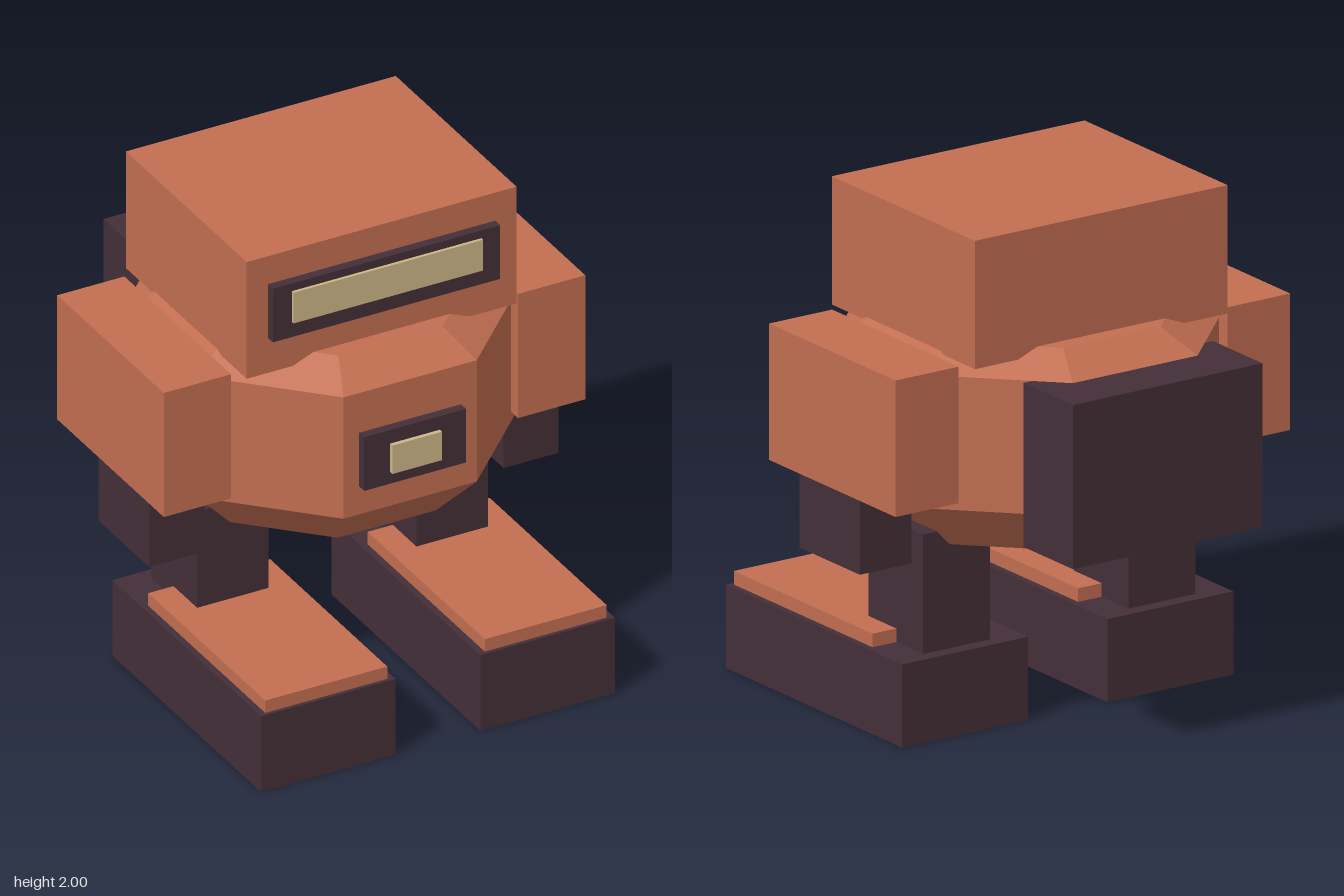
import * as THREE from 'three';

export function createModel() {
  const group = new THREE.Group();
  const material = (name, color) => {
    const m = new THREE.MeshStandardMaterial({ color });
    m.name = name;
    return m;
  };
  const clay = material('clay orange', 0xc26e51);
  const dark = material('dark plum', 0x442f38);
  const cream = material('cream', 0xcdb788);

  // Box given by its extents along each axis
  const box = (name, mat, [x0, x1], [y0, y1], [z0, z1]) => {
    const mesh = new THREE.Mesh(new THREE.BoxGeometry(x1 - x0, y1 - y0, z1 - z0), mat);
    mesh.position.set((x0 + x1) / 2, (y0 + y1) / 2, (z0 + z1) / 2);
    mesh.name = name;
    group.add(mesh);
  };

  // Torso: octagonal barrel with chamfered top and bottom
  const corner = 1 / Math.cos(Math.PI / 8);
  const profile = [[0, 0.735], [0.5, 0.735], [0.68, 0.93], [0.68, 1.45], [0.53, 1.535], [0, 1.535]]
    .map(([r, y]) => new THREE.Vector2(r * corner, y));
  const torsoGeometry = new THREE.LatheGeometry(profile, 8, Math.PI / 8).toNonIndexed();
  torsoGeometry.computeVertexNormals();
  const torso = new THREE.Mesh(torsoGeometry, clay);
  torso.name = 'torso';
  group.add(torso);

  // Head with visor
  box('head', clay, [-0.57, 0.57], [1.5, 2], [-0.462, 0.462]);
  box('visorFrame', dark, [-0.48, 0.48], [1.65, 1.88], [0.43, 0.5]);
  box('visorLight', cream, [-0.4, 0.4], [1.715, 1.847], [0.46, 0.513]);

  // Chest panel and backpack
  box('chestFrame', dark, [-0.215, 0.215], [1.05, 1.28], [0.64, 0.718]);
  box('chestLight', cream, [-0.105, 0.105], [1.1, 1.222], [0.7, 0.735]);
  box('backpack', dark, [-0.427, 0.427], [0.81, 1.45], [-0.89, -0.572]);

  // Arms and legs, mirrored
  for (const [side, s] of [['left', 1], ['right', -1]]) {
    const span = (a, b) => (s > 0 ? [a, b] : [-b, -a]);
    box(side + 'Arm', clay, span(0.606, 0.89), [0.97, 1.502], [-0.408, 0.408]);
    box(side + 'Hand', dark, span(0.632, 0.864), [0.667, 1.0], [-0.14, 0.25]);
    box(side + 'Leg', dark, span(0.312, 0.614), [0.3, 0.79], [-0.19, 0.163]);
    box(side + 'Foot', dark, span(0.179, 0.747), [0, 0.324], [-0.245, 0.893]);
    box(side + 'FootPlate', clay, span(0.206, 0.721), [0.3, 0.377], [-0.018, 0.878]);
  }
  return group;
}
